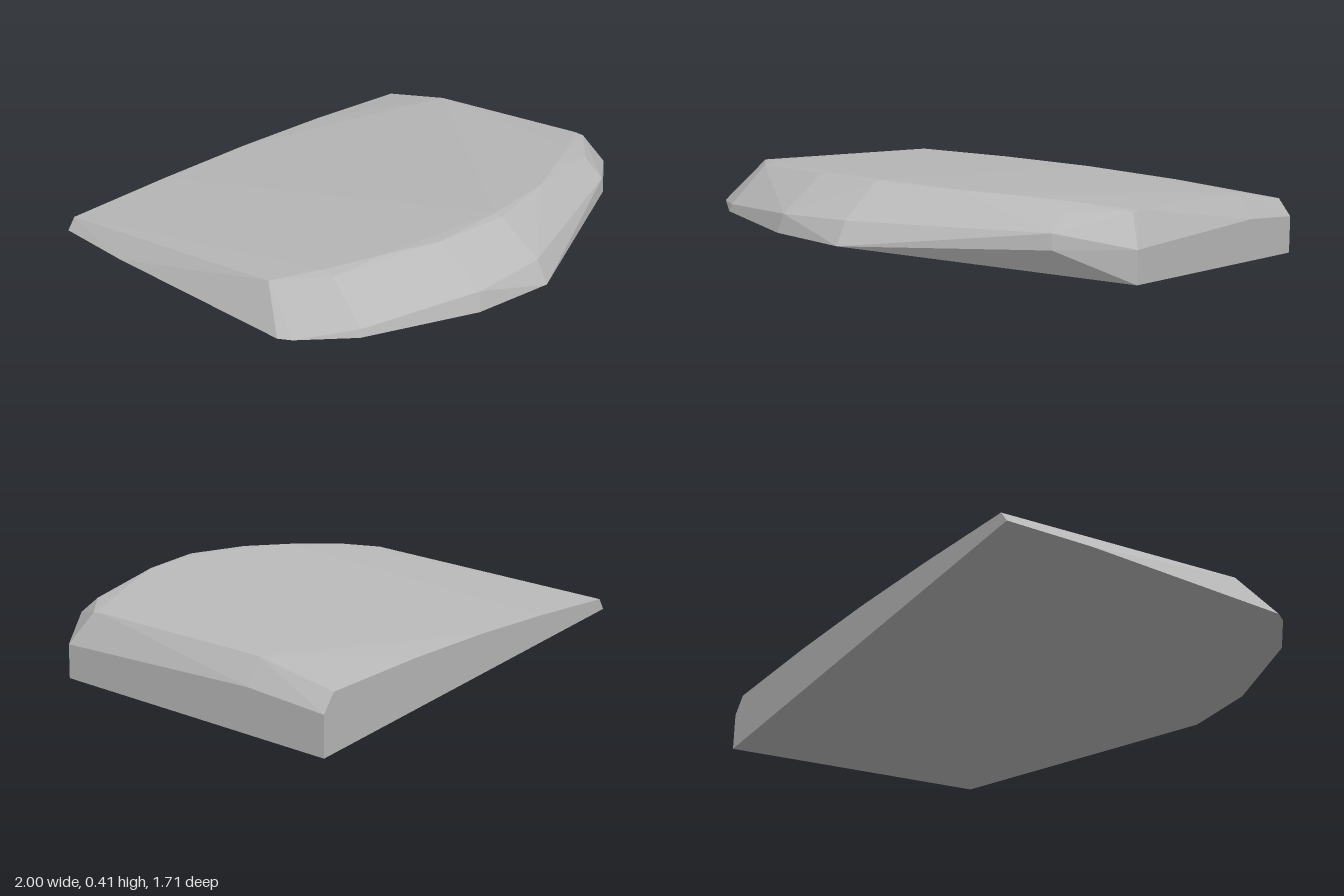
import * as THREE from 'three';
import { ConvexGeometry } from 'three/addons/geometries/ConvexGeometry.js';

const points = (list) => list.map((p) => new THREE.Vector3(...p));

export function createModel() {
  const group = new THREE.Group();
  group.name = 'facetedSlab';
  const grey = new THREE.MeshStandardMaterial({ color: 0xb8b8b8 });
  grey.name = 'grey';

  // Lower rim: level along the left and front, dropping to the right rear corner
  const lowerRim = points([
    [1, 0, -0.855], [-0.965, 0.197, -0.855], [-0.99, 0.2, -0.5],
    [-1, 0.2, 0.4], [-0.97, 0.2, 0.45], [-0.79, 0.2, 0.615],
    [-0.35, 0.2, 0.805], [-0.01, 0.2, 0.85], [1, 0.1, 0.355],
  ]);

  // Middle rim: upper limit of the upright side walls and the nose
  const middleRim = points([
    [-0.78, 0.23, 0.61], [-0.33, 0.275, 0.79], [-0.01, 0.29, 0.8],
    [0.75, 0.23, 0.54], [0.745, 0.292, 0.535],
    [1, 0.232, 0.355], [1, 0.2, -0.52], [1, 0.155, -0.855],
  ]);

  // Upper rim: bevelled edge around the gently crowned top
  const upperRim = points([
    [-0.93, 0.245, -0.855], [-0.91, 0.255, -0.76], [-0.91, 0.353, 0.265],
    [-0.75, 0.378, 0.38], [-0.75, 0.37, 0.44], [-0.53, 0.395, 0.485],
    [-0.32, 0.404, 0.578], [-0.01, 0.415, 0.585], [-0.01, 0.41, 0.62],
    [0.33, 0.406, 0.54], [0.55, 0.393, 0.44], [0.745, 0.36, 0.445],
    [0.75, 0.376, 0.35], [0.935, 0.355, 0.24], [0.935, 0.353, 0.285],
    [0.935, 0.3, -0.52], [0.945, 0.225, -0.855],
    [0.45, 0.25, -0.855], [0, 0.26, -0.855], [-0.45, 0.257, -0.855],
  ]);

  // Solid body wrapped in flat facets around the three rims
  const body = new THREE.Mesh(
    new ConvexGeometry([...lowerRim, ...middleRim, ...upperRim]), grey);
  body.name = 'slabBody';
  group.add(body);
  return group;
}
